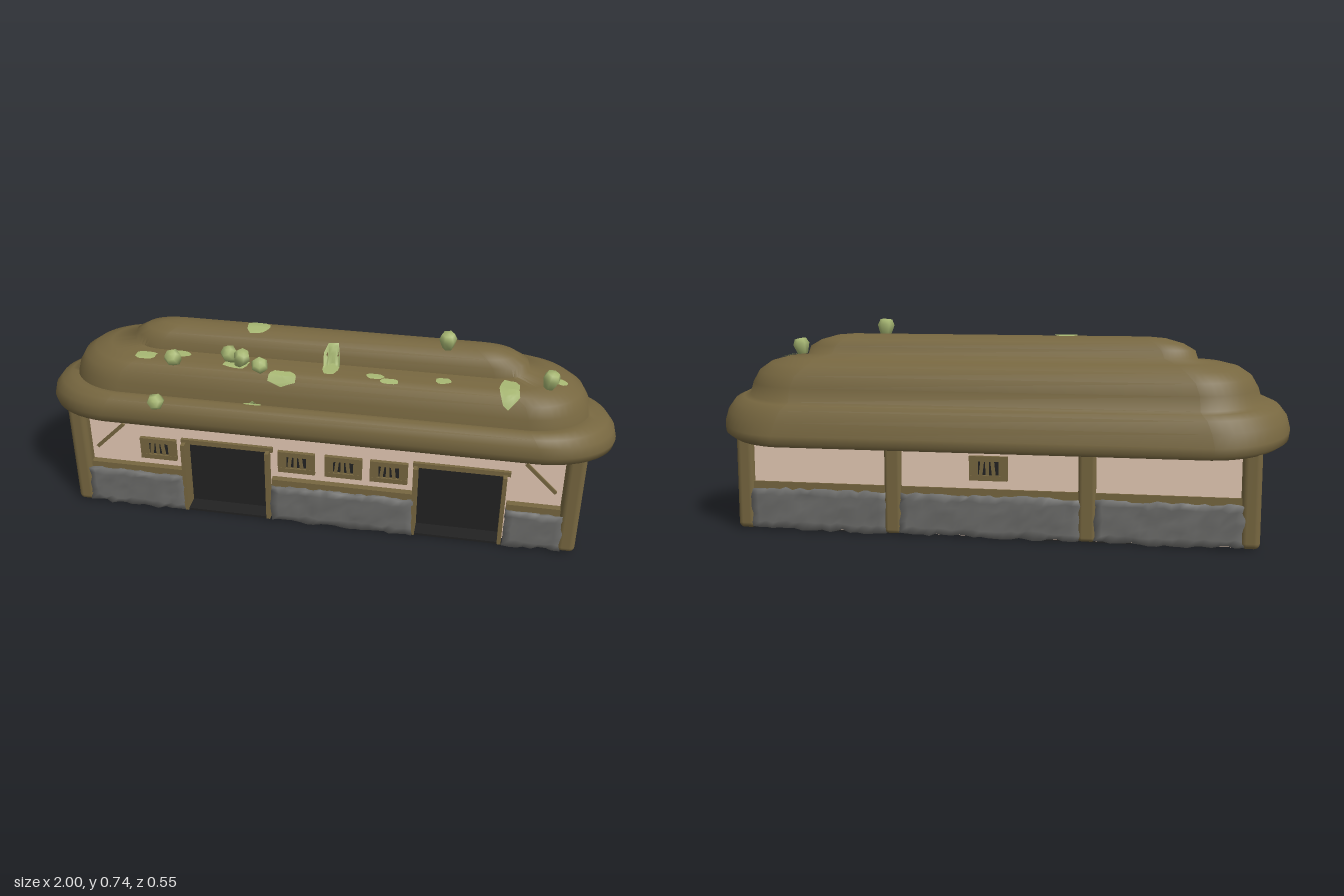
import * as THREE from 'three';
import { toCreasedNormals, mergeVertices } from 'three/addons/utils/BufferGeometryUtils.js';
import { RoundedBoxGeometry } from 'three/addons/geometries/RoundedBoxGeometry.js';

const material = (name, color, extra = {}) => {
  const m = new THREE.MeshStandardMaterial({ color, ...extra });
  m.name = name;
  return m;
};

export function createModel() {
  const model = new THREE.Group();
  model.name = 'longHut';
  const thatch = material('brown', 0x776740);
  const plaster = material('cream', 0xe8ccb7);
  const stone = material('stoneGrey', 0x6c6c6a);
  const dark = material('nearBlack', 0x222222);
  const moss = material('mossGreen', 0xa6b672, { side: THREE.DoubleSide });

  let seed = 7;
  const rand = () => ((seed = (seed * 16807) % 2147483647) / 2147483647);

  const add = (name, geo, mat, parent = model) => {
    const mesh = new THREE.Mesh(geo, mat);
    mesh.name = name;
    parent.add(mesh);
    return mesh;
  };
  // Box given by its limits on each axis
  const box = (name, mat, [x0, x1], [y0, y1], [z0, z1], parent = model, radius = 0) => {
    const s = [x1 - x0, y1 - y0, z1 - z0];
    const geo = radius ? new RoundedBoxGeometry(...s, 3, radius) : new THREE.BoxGeometry(...s);
    const mesh = add(name, geo, mat, parent);
    mesh.position.set((x0 + x1) / 2, (y0 + y1) / 2, (z0 + z1) / 2);
    return mesh;
  };

  // Walls: a back slab and a block with two door openings
  const wallFront = 0.138;
  const doors = [[-0.485, -0.18], [0.342, 0.647]];
  box('backWall', plaster, [-0.87, 0.87], [0.012, 0.4], [-0.195, -0.14]);
  const outline = new THREE.Shape().moveTo(-0.87, 0.012);
  for (const [x0, x1] of doors) {
    outline.lineTo(x0, 0.012).lineTo(x0, 0.288).lineTo(x1, 0.288).lineTo(x1, 0.012);
  }
  outline.lineTo(0.87, 0.012).lineTo(0.87, 0.42).lineTo(-0.87, 0.42);
  const wallGeo = new THREE.ExtrudeGeometry(outline, { depth: wallFront + 0.145, bevelEnabled: false });
  wallGeo.translate(0, 0, -0.145);
  add('walls', wallGeo, plaster);

  // Rough stone plinth, a box with lumpy faces
  const bump = (x, y, z) => {
    const n = Math.sin(x * 127.1 + y * 311.7 + z * 74.7) * 4375.85;
    return (n - Math.floor(n)) * 2 - 1;
  };
  const stonePanel = (xr, zr) => {
    const [w, d, h] = [xr[1] - xr[0], zr[1] - zr[0], 0.143];
    let geo = new THREE.BoxGeometry(w, h, d, Math.ceil(w / 0.026), 6, Math.ceil(d / 0.026));
    geo.translate((xr[0] + xr[1]) / 2, 0.083, (zr[0] + zr[1]) / 2);
    geo.deleteAttribute('normal');
    geo.deleteAttribute('uv');
    geo = mergeVertices(geo);
    const p = geo.attributes.position;
    for (let i = 0; i < p.count; i++) {
      const [x, y, z] = [p.getX(i), p.getY(i), p.getZ(i)];
      p.setXYZ(i, x + 0.004 * bump(y, z, x), y + 0.006 * bump(z, x, y), z + 0.004 * bump(x, y, z));
    }
    geo.computeVertexNormals();
    add('stonePlinth', geo, stone);
  };
  const rail = (xr, zr) => box('rail', thatch, xr, [0.14, 0.178], zr);

  for (const xr of [[-0.85, -0.495], [-0.17, 0.335], [0.655, 0.85]]) {
    stonePanel(xr, [0.13, 0.174]);
    rail(xr, [0.13, 0.162]);
  }
  for (const xr of [[-0.85, -0.36], [-0.31, 0.31], [0.36, 0.85]]) {
    stonePanel(xr, [-0.207, -0.185]);
    rail(xr, [-0.202, -0.185]);
  }
  for (const s of [-1, 1]) {
    stonePanel(s > 0 ? [0.86, 0.892] : [-0.892, -0.86], [-0.14, 0.1]);
    rail(s > 0 ? [0.86, 0.885] : [-0.885, -0.86], [-0.145, 0.105]);
    // Corner and back posts
    const px = s > 0 ? [0.838, 0.903] : [-0.903, -0.838];
    box('frontCornerPost', thatch, px, [0.008, 0.42], [0.1, 0.176], model, 0.02);
    box('backCornerPost', thatch, px, [0.008, 0.4], [-0.21, -0.135], model, 0.02);
    box('backPost', thatch, [s * 0.335 - 0.03, s * 0.335 + 0.03], [0.01, 0.4], [-0.21, -0.17], model, 0.014);
    // Slanted brace on the front wall
    const brace = box('brace', thatch, [-0.075, 0.075], [-0.006, 0.006], [0, 0.01]);
    brace.position.set(s * 0.763, 0.285, wallFront + 0.003);
    brace.rotation.z = -s * 0.78;
  }

  // Doorways: set-back door, dark floor and frame
  for (const [x0, x1] of doors) {
    box('door', dark, [x0, x1], [0.008, 0.288], [-0.142, 0.105]);
    box('doorFloor', dark, [x0, x1], [0.006, 0.014], [-0.19, 0.165]);
    box('lintel', thatch, [x0 - 0.014, x1 + 0.014], [0.284, 0.302], [0.1, 0.15]);
    for (const x of [x0, x1]) box('doorJamb', thatch, [x - 0.011, x + 0.003], [0.01, 0.29], [0.1, 0.172]);
  }

  // Small barred windows
  const makeWindow = (x, z, turn) => {
    const g = new THREE.Group();
    g.name = 'window';
    box('windowPane', dark, [-0.05, 0.05], [-0.03, 0.03], [0, 0.004], g);
    for (const s of [-1, 1]) {
      box('windowFrame', thatch, [-0.066, 0.066], [s * 0.033 - 0.009, s * 0.033 + 0.009], [0, 0.014], g);
      box('windowFrame', thatch, [s * 0.051 - 0.015, s * 0.051 + 0.015], [-0.034, 0.034], [0, 0.013], g);
    }
    [-0.024, -0.004, 0.016].forEach((bx, i) => {
      box('windowBar', thatch, [bx - 0.006, bx + 0.006], [-0.03, 0.03], [0.003, 0.01], g).rotation.z = (i - 1) * 0.12;
    });
    g.position.set(x, 0.25, z);
    g.rotation.y = turn;
    model.add(g);
  };
  for (const x of [-0.585, -0.082, 0.085, 0.245]) makeWindow(x, wallFront, 0);
  makeWindow(0, -0.195, Math.PI);

  // Tiered roof: rounded rings [front z, back z, end x, front y, back y, cap length]
  const rings = [
    [-0.02, -0.02, 0.6, 0.375, 0.375, 0.05],
    [0.165, -0.205, 0.89, 0.402, 0.335, 0.18],
    [0.215, -0.263, 0.98, 0.399, 0.311, 0.26],
    [0.23, -0.275, 0.996, 0.4, 0.325, 0.27],
    [0.24, -0.272, 1.0, 0.43, 0.35, 0.27],
    [0.236, -0.26, 0.99, 0.463, 0.395, 0.27],
    [0.225, -0.247, 0.965, 0.488, 0.435, 0.26],
    [0.205, -0.232, 0.93, 0.502, 0.453, 0.24],
    [0.187, -0.221, 0.905, 0.499, 0.462, 0.22],
    [0.182, -0.212, 0.893, 0.535, 0.51, 0.21],
    [0.17, -0.2, 0.87, 0.575, 0.55, 0.2],
    [0.153, -0.178, 0.83, 0.598, 0.582, 0.19],
    [0.125, -0.145, 0.77, 0.608, 0.605, 0.16],
    [0.06, -0.1, 0.69, 0.61, 0.622, 0.12],
    [0.054, -0.092, 0.68, 0.642, 0.648, 0.12],
    [0.04, -0.077, 0.64, 0.666, 0.67, 0.1],
    [0.015, -0.05, 0.58, 0.685, 0.685, 0.07],
    [-0.015, -0.015, 0.52, 0.69, 0.69, 0.03],
  ];
  const N = 48;
  const pos = [], index = [];
  rings.forEach(([zf, zb, X, yf, yb, cap], r) => {
    for (let j = 0; j < N; j++) {
      const t = ((j + 0.5) / N) * Math.PI * 2;
      const c = Math.cos(t), k = (1 - Math.sin(t)) / 2;
      pos.push(Math.sign(c) * (X - cap) + c * cap, yb + (yf - yb) * k, zb + (zf - zb) * k);
      if (r === rings.length - 1) continue;
      const a = r * N + j, b = r * N + ((j + 1) % N);
      index.push(a, b, b + N, a, b + N, a + N);
    }
  });
  let roofGeo = new THREE.BufferGeometry();
  roofGeo.setAttribute('position', new THREE.Float32BufferAttribute(pos, 3));
  roofGeo.setIndex(index);
  roofGeo = toCreasedNormals(roofGeo, 1.25);
  const roof = add('roof', roofGeo, thatch);

  // Flat moss patches laid onto the roof [x, z, half width, half depth]
  const ray = new THREE.Raycaster();
  const down = new THREE.Vector3(0, -1, 0);
  const onRoof = (x, z) => {
    ray.set(new THREE.Vector3(x, 2, z), down);
    const hit = ray.intersectObject(roof)[0];
    return hit.point.addScaledVector(hit.face.normal, 0.004);
  };
  const patches = [
    [-0.61, 0.11, 0.037, 0.022], [-0.5, 0.085, 0.042, 0.02], [-0.24, -0.01, 0.039, 0.032],
    [0.03, 0.08, 0.03, 0.05], [0.185, 0.118, 0.03, 0.014], [0.235, 0.136, 0.03, 0.011],
    [0.41, 0.11, 0.026, 0.017], [0.628, 0.122, 0.034, 0.052], [0.78, 0.035, 0.033, 0.018],
    [-0.125, 0.152, 0.047, 0.02], [-0.22, 0.194, 0.03, 0.009], [-0.29, 0.115, 0.046, 0.023],
  ];
  for (const [x, z, w, d] of patches) {
    const geo = new THREE.RingGeometry(0.001, 1, 12, 7);
    const p = geo.attributes.position;
    const wobble = Array.from({ length: 12 }, () => 0.88 + rand() * 0.2);
    for (let i = 0; i < p.count; i++) {
      const [u, v] = [p.getX(i), p.getY(i)];
      const squarish = (Math.hypot(u, v) / Math.max(Math.abs(u), Math.abs(v))) ** 0.6;
      const k = wobble[(i % 13) % 12] * squarish;
      const q = onRoof(x + u * w * k, z - v * d * k);
      p.setXYZ(i, q.x, q.y, q.z);
    }
    geo.computeVertexNormals();
    add('mossPatch', geo, moss);
  }

  // Moss tufts: faceted buds, narrow at the root [x, y, z, lean to front, lean to side]
  const bud = new THREE.LatheGeometry([
    [0, -0.031], [0.018, -0.029], [0.03, 0.008], [0.021, 0.028], [0, 0.03],
  ].map(([r, y]) => new THREE.Vector2(r, y)), 6);
  const tufts = [
    [-0.54, 0.511, 0.245, 1.1, 0.1], [0.412, 0.711, 0.014, 0.15, 0], [0.757, 0.634, 0.082, 0.3, -0.3],
    [-0.5, 0.63, 0.148, 0.6, 0.2], [-0.31, 0.642, 0.112, 0.3, 0.5], [-0.27, 0.638, 0.124, 0.4, -0.4],
    [-0.2, 0.63, 0.15, 0.7, -0.1],
  ];
  for (const [x, y, z, front, side] of tufts) {
    const tuft = add('mossTuft', bud, moss);
    tuft.position.set(x, y, z);
    tuft.rotation.set(front, rand() * 0.8, side);
  }
  return model;
}
